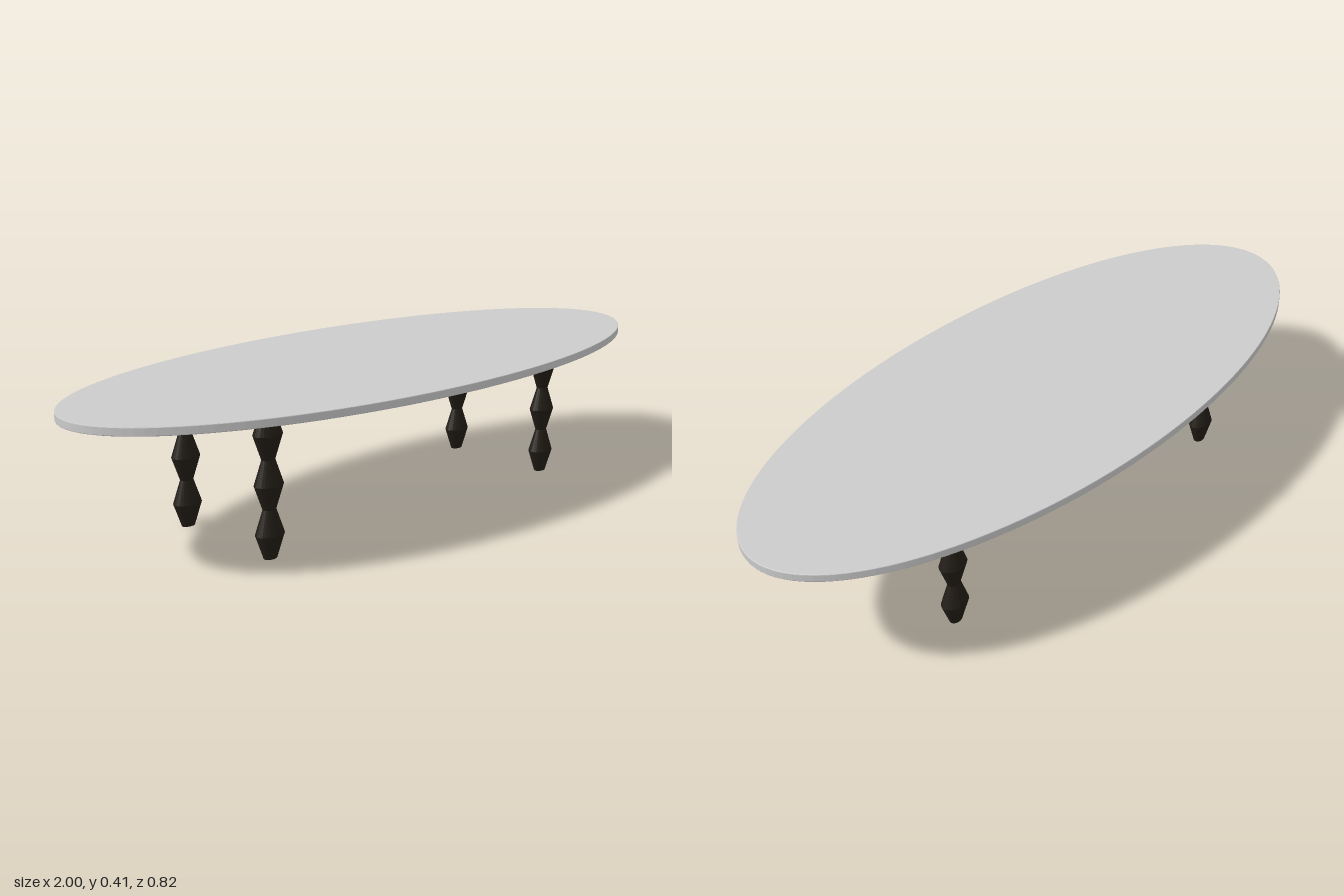
import * as THREE from 'three';

const TOP = 0.411, UNDER = 0.389;

// Elliptical slab with a fine eased edge
function makeTabletop(material) {
  const t = TOP - UNDER, e = 0.002;
  const shape = new THREE.Shape();
  shape.absellipse(0, 0, 1 - e, 0.41 - e, 0, Math.PI * 2);
  const geometry = new THREE.ExtrudeGeometry(shape, {
    depth: t - 2 * e, bevelEnabled: true, bevelSize: e, bevelThickness: e,
    bevelSegments: 2, curveSegments: 64,
  });
  geometry.rotateX(-Math.PI / 2);
  geometry.translate(0, UNDER + e, 0);
  const mesh = new THREE.Mesh(geometry, material);
  mesh.name = 'tabletop';
  return mesh;
}

// Three stacked double-cone beads, oval in section
function makeLegGeometry() {
  const beads = 3, wide = 0.0425, waist = 0.0195;
  const profile = [new THREE.Vector2(0, 0)];
  for (let i = 0; i <= beads * 2; i++) {
    profile.push(new THREE.Vector2(i % 2 ? wide : waist, (UNDER * i) / (beads * 2)));
  }
  profile.push(new THREE.Vector2(0, UNDER));
  const geometry = new THREE.LatheGeometry(profile, 24).toNonIndexed();
  geometry.scale(1, 1, 0.705);
  geometry.computeVertexNormals();
  return geometry;
}

export function createModel() {
  const model = new THREE.Group();
  model.name = 'ovalTable';

  const topMaterial = new THREE.MeshStandardMaterial({ color: 0xcccccc });
  const legMaterial = new THREE.MeshStandardMaterial({ color: 0x221d16, flatShading: true });
  model.add(makeTabletop(topMaterial));

  // Four legs, set a touch off centre
  const legGeometry = makeLegGeometry();
  for (const [side, x] of [['Right', -0.543], ['Left', 0.533]]) {
    for (const [end, z] of [['front', 0.173], ['back', -0.171]]) {
      const leg = new THREE.Mesh(legGeometry, legMaterial);
      leg.name = `${end}${side}Leg`;
      leg.position.set(x, 0, z);
      model.add(leg);
    }
  }
  return model;
}
